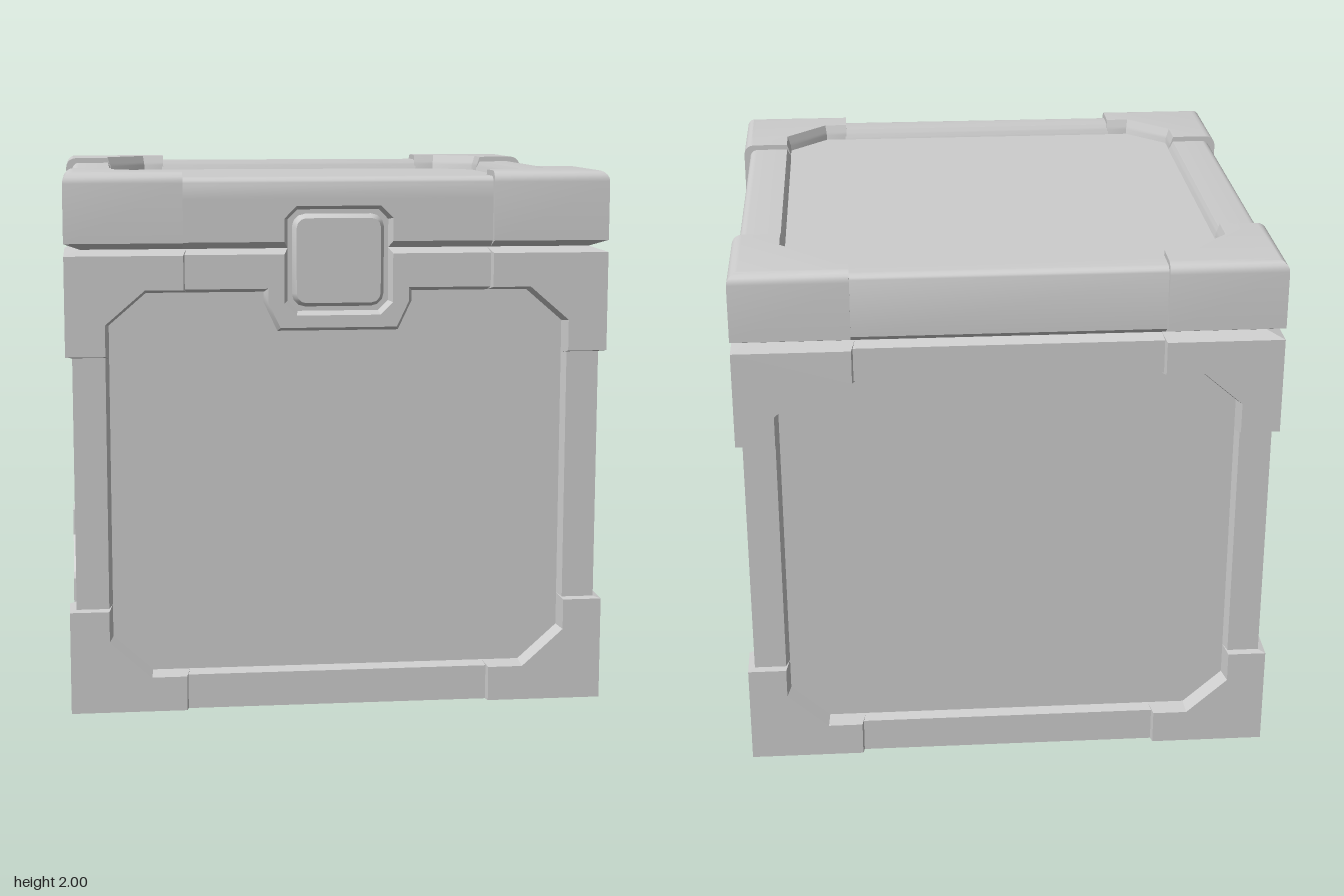
import * as THREE from 'three';
import { toCreasedNormals } from 'three/addons/utils/BufferGeometryUtils.js';

const grey = new THREE.MeshStandardMaterial({ color: 0xcccccc });
grey.name = 'grey';

const CORE = 0.94;   // half width of the recessed panels
const BAR = 0.975;   // half width at the edge bars
const CAP = 1;       // half width at the corner pieces

const ccw = (pts) => {
  const v = pts.map(([x, y]) => new THREE.Vector2(x, y));
  return THREE.ShapeUtils.area(v) < 0 ? [...pts].reverse() : pts;
};

// Closed solid through contours stacked along local z: levels = [[height, points], ...]
function loft(levels) {
  const loops = levels.map(([h, pts]) => ccw(pts).map(([x, y]) => [x, y, h]));
  const n = loops[0].length, pos = [];
  const tri = (a, b, c) => pos.push(...a, ...b, ...c);
  for (let k = 0; k + 1 < loops.length; k++) {
    for (let i = 0; i < n; i++) {
      const j = (i + 1) % n, lo = loops[k], hi = loops[k + 1];
      tri(lo[i], lo[j], hi[j]);
      tri(lo[i], hi[j], hi[i]);
    }
  }
  const cap = (loop, flip) => {
    const v = loop.map(([x, y]) => new THREE.Vector2(x, y));
    for (const [a, b, c] of THREE.ShapeUtils.triangulateShape(v, [])) {
      if (flip) tri(loop[a], loop[c], loop[b]);
      else tri(loop[a], loop[b], loop[c]);
    }
  };
  cap(loops[0], true);
  cap(loops[loops.length - 1], false);
  const g = new THREE.BufferGeometry();
  g.setAttribute('position', new THREE.Float32BufferAttribute(pos, 3));
  return toCreasedNormals(g, 0.5);
}

// Base outline of a raised piece: bevelled outwards, mitred at the box edges
function baseOutline(points, d) {
  const p = ccw(points), n = p.length;
  const normal = (a, b) => {
    const dx = b[0] - a[0], dy = b[1] - a[1], l = Math.hypot(dx, dy);
    return [dy / l, -dx / l];
  };
  return p.map((q, i) => {
    const a = normal(p[(i + n - 1) % n], q), b = normal(q, p[(i + 1) % n]);
    const s = d / (1 + a[0] * b[0] + a[1] * b[1]);
    let x = q[0] + s * (a[0] + b[0]), y = q[1] + s * (a[1] + b[1]);
    if (Math.abs(q[0]) >= BAR) x = Math.sign(q[0]) * CORE;
    if (q[1] === 0) y = 0;
    if (q[1] === 1.7 || q[1] === 1.745) y = 1.72;
    return [x, y];
  });
}

const slab = (pts, front, d = 0.014) => loft([[CORE, baseOutline(pts, d)], [front, ccw(pts)]]);
const mirrorX = (pts) => pts.map(([x, y]) => [-x, y]);
const symmetric = (half) => [...half, ...mirrorX(half).reverse()];

function add(parent, name, geometry) {
  const m = new THREE.Mesh(geometry, grey);
  m.name = name;
  parent.add(m);
  return m;
}

// One body wall: bars and corner pieces around the recessed panel
function bodyWall(isFront) {
  const wall = new THREE.Group();
  const lower = [[1, 0], [1, 0.385], [0.855, 0.385], [0.855, 0.27], [0.7, 0.13], [0.57, 0.13], [0.57, 0]];
  const upper = [[1, 1.7], [1, 1.335], [0.855, 1.335], [0.855, 1.45], [0.71, 1.575], [0.57, 1.575], [0.57, 1.7]];
  const post = [[BAR, 0.38], [BAR, 1.34], [0.855, 1.34], [0.855, 0.38]];
  for (const side of [(p) => p, mirrorX]) {
    add(wall, 'lowerCorner', slab(side(lower), CAP));
    add(wall, 'upperCorner', slab(side(upper), CAP));
    add(wall, 'post', slab(side(post), BAR));
  }
  add(wall, 'bottomBar', slab(symmetric([[0.58, 0], [0.58, 0.13]]), BAR));
  // the front bar dips down into a tongue around the latch recess
  const topBar = isFront
    ? symmetric([[0.2, 1.7], [0.58, 1.7], [0.58, 1.575], [0.26, 1.575], [0.26, 1.525], [0.215, 1.43]])
      .concat([[-0.2, 1.52], [-0.155, 1.475], [0.155, 1.475], [0.2, 1.52]])
    : symmetric([[0.58, 1.7], [0.58, 1.575]]);
  add(wall, 'topBar', slab(topBar, BAR));
  return wall;
}

// Lid piece: plan(edge, bevel) gives the outline at each height, with a rounded top edge
function lidPiece(plan, edge, top, radius, start) {
  const levels = start ? [[start, edge]] : [[1.72, CORE], [1.745, edge]];
  for (let i = 0; i <= 5; i++) {
    const a = (i / 5) * Math.PI / 2;
    levels.push([top - radius + radius * Math.sin(a), edge - radius + radius * Math.cos(a)]);
  }
  const bevel = (h) => 0.02 * Math.min(1, (top - h) / (top - CORE - 1));
  const g = loft(levels.map(([h, e]) => [h, plan(e, bevel(h))]));
  return g.rotateX(-Math.PI / 2);
}

function createLid() {
  const lid = new THREE.Group();
  lid.name = 'lid';
  for (const s of [1, -1]) {
    for (const t of [1, -1]) {
      const corner = (e, b) => [
        [0.57, 0.85 - b], [0.57, e], [e, e], [e, 0.57],
        [0.82 - b, 0.57], [0.82 - b, 0.69 - 0.4 * b], [0.66 - 0.4 * b, 0.85 - b],
      ].map(([x, z]) => [s * x, t * z]);
      add(lid, 'lidCorner', lidPiece(corner, CAP, 2, 0.04));
    }
    const sideBar = (e, b) => [[0.82 - b, -0.575], [e, -0.575], [e, 0.575], [0.82 - b, 0.575]]
      .map(([x, z]) => [s * x, z]);
    add(lid, 'lidSideBar', lidPiece(sideBar, BAR, 1.98, 0.03));
    const endBar = (e, b) => [[-0.575, 0.85 - b], [0.575, 0.85 - b], [0.575, e], [-0.575, e]]
      .map(([x, z]) => [x, s * z]);
    // the front bar starts above the latch notch
    add(lid, 'lidEndBar', lidPiece(endBar, BAR, 1.98, 0.03, s < 0 ? 1.9 : 0));
  }
  const notched = symmetric([[0.155, 1.875], [0.2, 1.83], [0.2, 1.745], [0.575, 1.745], [0.575, 1.905]]);
  add(lid, 'lidFrontBar', slab(notched, BAR));
  return lid;
}

// Rounded square button sitting in the recess
function latchGeometry() {
  const pts = [], half = 0.155, r = 0.035;
  for (let q = 0; q < 4; q++) {
    const mid = (q + 0.5) * Math.PI / 2;
    const cx = Math.sign(Math.cos(mid)) * (half - r), cy = Math.sign(Math.sin(mid)) * (half - r);
    for (let i = 0; i <= 3; i++) {
      const a = (q + i / 3) * Math.PI / 2;
      pts.push([cx + r * Math.cos(a), 1.675 + cy + r * Math.sin(a)]);
    }
  }
  return slab(pts, 0.97, 0.015);
}

export function createModel() {
  const model = new THREE.Group();
  model.name = 'crate';

  // inner box whose faces are the recessed panels
  const core = add(model, 'panels', new THREE.BoxGeometry(2 * CORE, 1.94, 2 * CORE));
  core.position.y = 0.97;

  ['frontWall', 'leftWall', 'backWall', 'rightWall'].forEach((name, i) => {
    const wall = bodyWall(i === 0);
    wall.name = name;
    wall.rotation.y = i * Math.PI / 2;
    model.add(wall);
  });
  model.add(createLid());
  add(model, 'latch', latchGeometry());
  return model;
}
